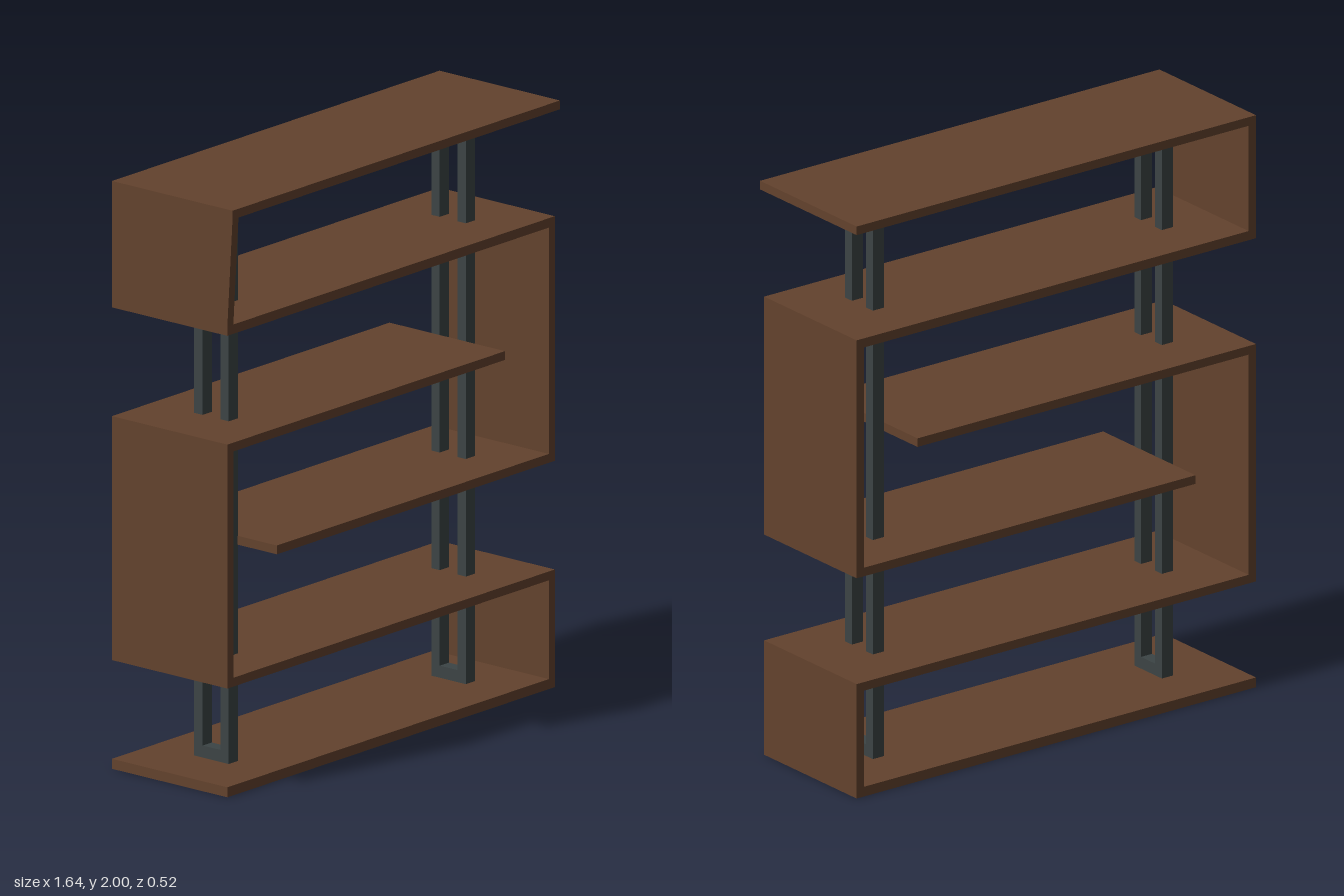
import * as THREE from 'three';

const BACK = -0.257, FRONT = 0.238, TOP_FRONT = 0.26;
const HALF = 0.82, T = 0.03;

export function createModel() {
  const model = new THREE.Group();
  model.name = 'shelvingUnit';
  const wood = new THREE.MeshStandardMaterial({ color: 0x63422d });
  wood.name = 'brownWood';
  const metal = new THREE.MeshStandardMaterial({ color: 0x3c4445 });
  metal.name = 'darkMetal';

  const add = (name, geometry, material) => {
    const mesh = new THREE.Mesh(geometry, material);
    mesh.name = name;
    model.add(mesh);
  };
  const board = (name, x0, x1, y0, y1, front = FRONT) => {
    const g = new THREE.BoxGeometry(x1 - x0, y1 - y0, front - BACK);
    g.translate((x0 + x1) / 2, (y0 + y1) / 2, (front + BACK) / 2);
    add(name, g, wood);
  };
  // Extrudes a (z, y) outline along x, from x0 to x0 + width
  const sideExtrude = (shape, x0, width) =>
    new THREE.ExtrudeGeometry(shape, { depth: width, bevelEnabled: false })
      .rotateY(-Math.PI / 2).translate(x0 + width, 0, 0);
  const outline = (points) => points.map(([z, y]) => new THREE.Vector2(z, y));

  // Shelves, bottom to top: x range, y range, front edge
  [
    [-HALF, HALF, 0, 0.034],
    [-HALF, HALF, 0.37, 0.4],
    [-0.572, HALF, 0.77, 0.8],
    [-HALF, 0.57, 1.17, 1.2],
    [-HALF, HALF, 1.57, 1.602],
    [-HALF, HALF, 1.97, 2, TOP_FRONT],
  ].forEach((s, i) => board(`shelf${i + 1}`, ...s));

  // Upright panels joining the shelves alternately on each side
  board('lowerLeftPanel', HALF - T, HALF, 0.034, 0.37);
  board('upperLeftPanel', HALF - T, HALF, 0.8, 1.57);
  board('middleRightPanel', -HALF, -HALF + T, 0.4, 1.17);

  // Top panel with a front edge that leans forward
  const lean = new THREE.Shape(outline([
    [BACK, 1.602], [FRONT, 1.602], [TOP_FRONT, 1.97], [BACK, 1.97],
  ]));
  add('topRightPanel', sideExtrude(lean, -HALF, T), wood);

  // Tall rectangular support frames
  for (const [name, x] of [['rightFrame', -0.617], ['leftFrame', 0.57]]) {
    const frame = new THREE.Shape(outline([
      [-0.078, 0.034], [0.07, 0.034], [0.07, 1.97], [-0.078, 1.97],
    ]));
    frame.holes.push(new THREE.Path(outline([
      [-0.042, 0.075], [-0.042, 1.928], [0.034, 1.928], [0.034, 0.075],
    ])));
    add(name, sideExtrude(frame, x, 0.046), metal);
  }
  return model;
}
